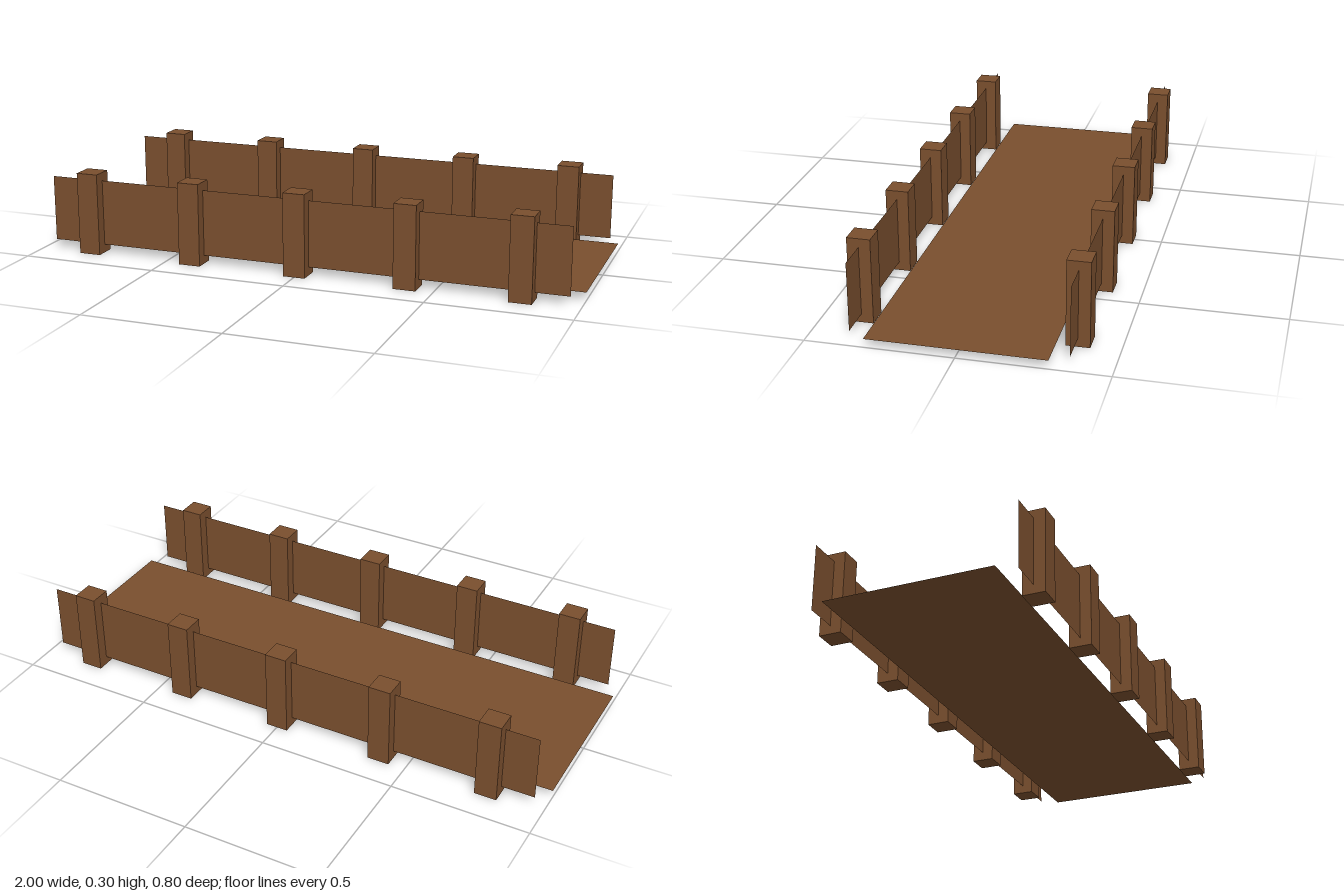
import * as THREE from 'three';

export function createModel() {
  const group = new THREE.Group();
  const wood = new THREE.MeshStandardMaterial({ color: 0x7a4f2e });
  const sheetWood = new THREE.MeshStandardMaterial({ color: 0x7a4f2e, side: THREE.DoubleSide });

  const add = (name, geometry, material, x, y, z) => {
    const mesh = new THREE.Mesh(geometry, material);
    mesh.name = name;
    mesh.position.set(x, y, z);
    group.add(mesh);
  };

  // Flat walkway
  add('deck', new THREE.PlaneGeometry(2, 0.6).rotateX(-Math.PI / 2), sheetWood, 0, 0.03, 0);

  // A thin rail threaded through five posts on each side
  const railGeometry = new THREE.PlaneGeometry(1.92, 0.24);
  const postGeometry = new THREE.BoxGeometry(0.08, 0.3, 0.08);
  for (const [side, z] of [['front', 0.36], ['back', -0.36]]) {
    add(`${side}Rail`, railGeometry, sheetWood, 0, 0.15, z);
    for (let i = 0; i < 5; i++) {
      add(`${side}Post${i + 1}`, postGeometry, wood, -0.8 + i * 0.4, 0.15, z);
    }
  }
  return group;
}
